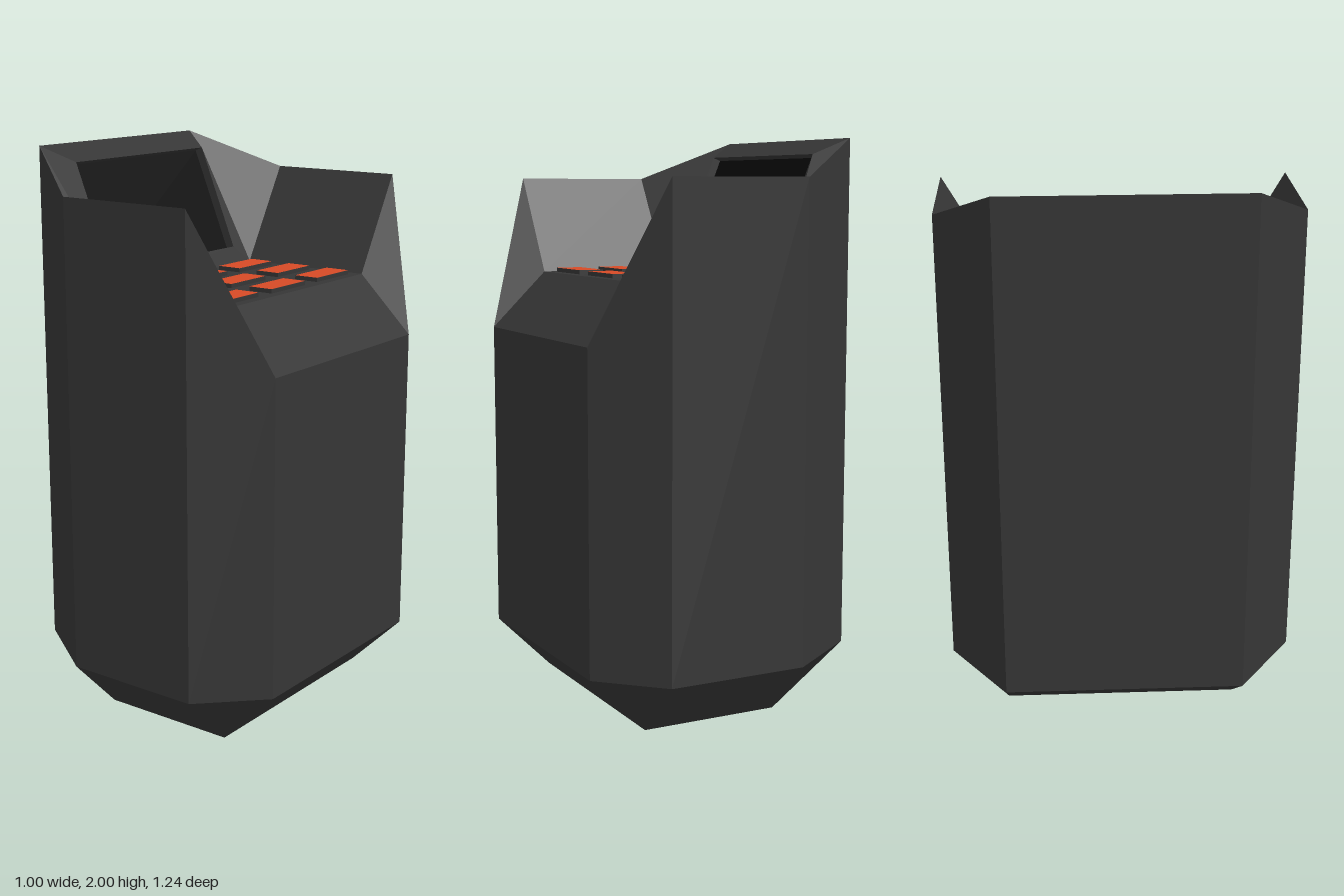
import * as THREE from 'three';

const material = (color) => new THREE.MeshStandardMaterial({ color, flatShading: true });

// Flat polygon as a triangle fan, skipping collapsed triangles
function face(out, points) {
  for (let i = 1; i < points.length - 1; i++) {
    const t = new THREE.Triangle(points[0], points[i], points[i + 1]);
    if (t.getArea() > 1e-7) for (const p of [t.a, t.b, t.c]) out.push(p.x, p.y, p.z);
  }
}

// Quads joining two closed rings, each clockwise as seen from outside its cap
function loft(out, a, b, skip = -1) {
  a.forEach((_, i) => {
    const j = (i + 1) % a.length;
    if (i !== skip) face(out, [a[j], a[i], b[i], b[j]]);
  });
}

function meshFrom(name, positions, mat) {
  const g = new THREE.BufferGeometry();
  g.setAttribute('position', new THREE.Float32BufferAttribute(positions, 3));
  g.computeVertexNormals();
  const mesh = new THREE.Mesh(g, mat);
  mesh.name = name;
  return mesh;
}

export function createModel() {
  const group = new THREE.Group();
  group.name = 'console';
  const v = (x, y, z) => new THREE.Vector3(x, y, z);
  const dark = material(0x363636);
  const black = material(0x0a0a0a);
  const orange = material(0xd64a26);

  // Footprint: eight corners; the panel and base are its inner rectangle
  const X0 = -0.21, X1 = 0.295, Z = 0.42, PANEL = 1.52;
  const half = [[0.5, Z, 1.32], [X1, 0.62, 1.865], [X0, 0.62, 1.865], [-0.5, Z, 2]];
  const outline = [...half, ...half.map(([x, z, y]) => [x, -z, y]).reverse()];
  const ring = (y) => outline.map(([x, z, top]) => v(x, y ?? top, z));
  const inner = (y) => outline.map(([x, z]) =>
    v(THREE.MathUtils.clamp(x, X0, X1), y, THREE.MathUtils.clamp(z, -Z, Z)));

  // Body: base, lower chamfer, walls, and funnel down to the button panel
  const body = [];
  const base = inner(0), low = ring(0.205), rim = ring(), panel = inner(PANEL);
  face(body, base);
  loft(body, base, low);
  loft(body, low, rim);
  loft(body, rim, panel, 3);
  face(body, [...panel].reverse());
  group.add(meshFrom('body', body, dark));

  // Screen surround: slanted bezel, then a shallow recess
  const frame = (xt, yt, xb, yb, z) => [v(xt, yt, z), v(xt, yt, -z), v(xb, yb, -z), v(xb, yb, z)];
  const outer = frame(-0.5, 2, X0, PANEL, Z);
  const lip = frame(-0.39, 1.945, -0.24, 1.58, 0.355);
  const recess = frame(-0.42, 1.933, -0.27, 1.568, 0.355);
  const bezel = [];
  loft(bezel, outer, lip);
  loft(bezel, lip, recess);
  group.add(meshFrom('screenBezel', bezel, dark));

  const screen = [];
  face(screen, [...recess].reverse());
  group.add(meshFrom('screen', screen, black));

  // Buttons: three by three, coloured on top
  const buttons = new THREE.Group();
  buttons.name = 'buttons';
  const buttonGeometry = new THREE.BoxGeometry(0.094, 0.03, 0.205);
  for (const x of [-0.129, 0.042, 0.212]) {
    for (const z of [-0.282, -0.001, 0.28]) {
      const button = new THREE.Mesh(buttonGeometry, [dark, dark, orange, dark, dark, dark]);
      button.name = 'button';
      button.position.set(x, PANEL, z);
      buttons.add(button);
    }
  }
  group.add(buttons);
  return group;
}
